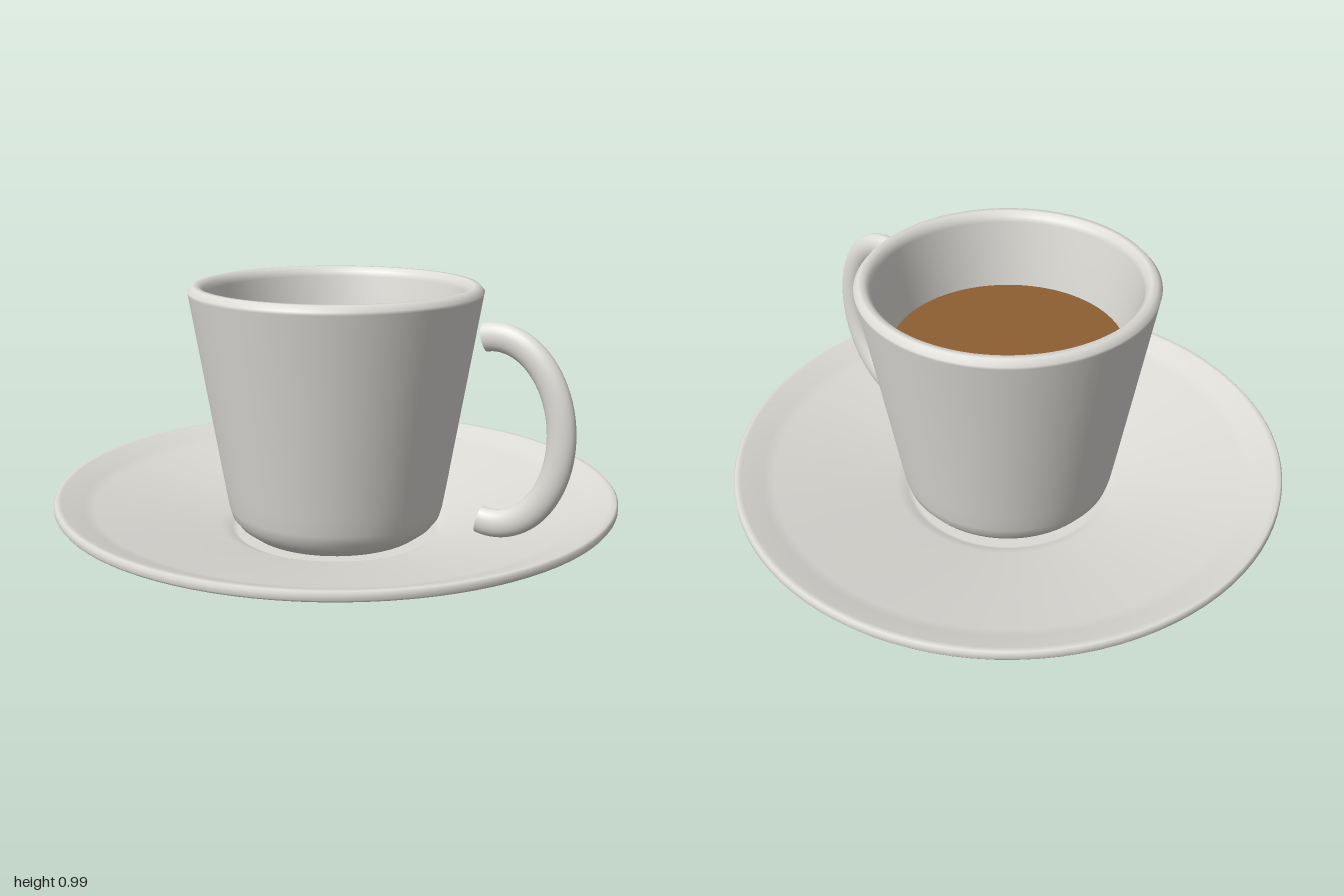
import * as THREE from 'three';

const SEGMENTS = 96;

// Revolve a closed profile of [radius, height] pairs, running from the underside out and over the top
function lathe(name, profile, material) {
  const points = profile.map(([r, y]) => new THREE.Vector2(r, y));
  const mesh = new THREE.Mesh(new THREE.LatheGeometry(points, SEGMENTS), material);
  mesh.name = name;
  return mesh;
}

// Elliptical arc that the handle follows, in the plane z = 0
class HandleCurve extends THREE.Curve {
  getPoint(t, target = new THREE.Vector3()) {
    const a = THREE.MathUtils.degToRad(-100 + 200 * t);
    return target.set(0.615 + 0.236 * Math.cos(a), 0.54 + 0.317 * Math.sin(a), 0);
  }
}

function makeHandle(material) {
  const handle = new THREE.Group();
  handle.name = 'handle';
  const curve = new HandleCurve();
  const radius = 0.048;

  const grip = new THREE.Mesh(new THREE.TubeGeometry(curve, 64, radius, 24), material);
  grip.name = 'handleGrip';
  handle.add(grip);

  // Flat ends facing the cup
  for (const [t, sign, name] of [[0, -1, 'handleLowerEnd'], [1, 1, 'handleUpperEnd']]) {
    const end = new THREE.Mesh(new THREE.CircleGeometry(radius, 24), material);
    const outward = curve.getTangent(t).multiplyScalar(sign);
    end.quaternion.setFromUnitVectors(new THREE.Vector3(0, 0, 1), outward);
    end.position.copy(curve.getPoint(t));
    end.name = name;
    handle.add(end);
  }
  handle.scale.z = 0.73; // oval section, thinner from side to side
  return handle;
}

export function createModel() {
  const china = new THREE.MeshStandardMaterial({ color: 0xdddbd6 });
  china.name = 'whiteChina';
  const coffeeBrown = new THREE.MeshStandardMaterial({ color: 0x8f5f33 });
  coffeeBrown.name = 'coffeeBrown';

  const model = new THREE.Group();
  model.name = 'cupAndSaucer';

  // Saucer: hollow foot, flared underside, thin rim and a shallow well
  model.add(lathe('saucer', [
    [0, 0.05], [0.29, 0.05], [0.31, 0.046], [0.375, 0], [0.385, 0.004],
    [0.42, 0.08], [0.88, 0.18], [0.995, 0.228], [1, 0.235], [1, 0.252],
    [0.993, 0.26], [0.975, 0.26], [0.9, 0.228], [0.86, 0.216],
    [0.42, 0.118], [0.38, 0.1], [0.36, 0.09], [0, 0.09],
  ], china));

  // Cup: rounded base, tapered wall, rounded lip and inner wall
  model.add(lathe('cup', [
    [0, 0.085], [0.28, 0.085], [0.315, 0.095], [0.355, 0.125], [0.378, 0.155],
    [0.388, 0.19], [0.4, 0.26], [0.513, 0.955], [0.515, 0.966], [0.498, 0.985],
    [0.478, 0.985], [0.462, 0.968], [0.456, 0.95], [0.41, 0.71],
    [0.335, 0.22], [0.29, 0.16], [0, 0.15],
  ], china));

  // Coffee surface
  const coffee = new THREE.Mesh(new THREE.CircleGeometry(0.412, SEGMENTS), coffeeBrown);
  coffee.rotation.x = -Math.PI / 2;
  coffee.position.y = 0.71;
  coffee.name = 'coffee';
  model.add(coffee);

  model.add(makeHandle(china));
  return model;
}
